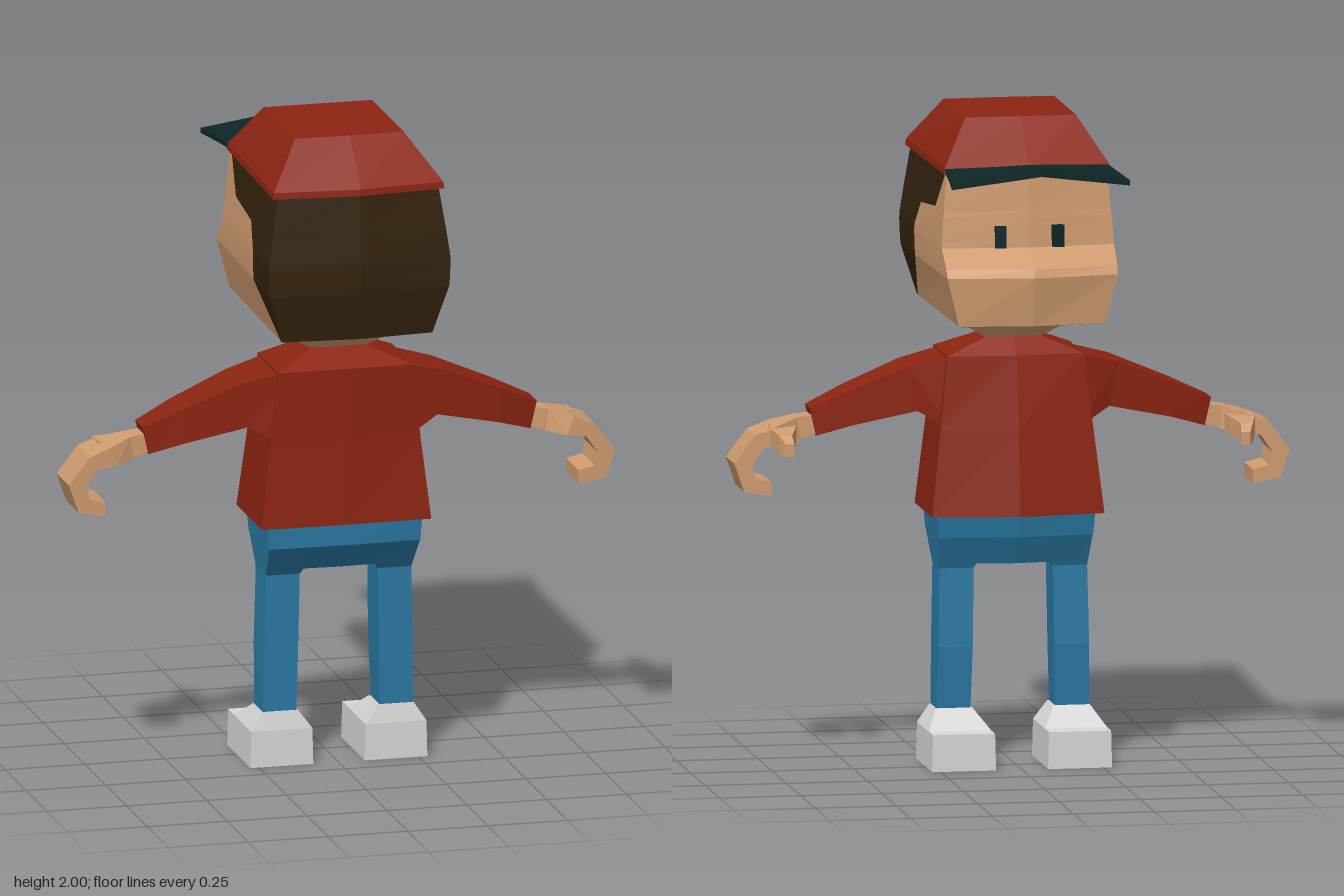
import * as THREE from 'three';

const mat = (name, color) => {
  const m = new THREE.MeshStandardMaterial({ color });
  m.name = name;
  return m;
};

// Skins closed rings of [x, y, z] points, caps both ends and keeps the faces flat.
// pick(band, side) chooses the material index of each side face.
function loft(rings, pick = () => 0) {
  const tris = [[], []];
  const n = rings[0].length;
  for (let b = 0; b < rings.length - 1; b++) {
    for (let i = 0; i < n; i++) {
      const j = (i + 1) % n, lo = rings[b], hi = rings[b + 1];
      tris[pick(b, i)].push([lo[i], lo[j], hi[j]], [lo[i], hi[j], hi[i]]);
    }
  }
  const first = rings[0], last = rings[rings.length - 1];
  for (let i = 1; i < n - 1; i++) {
    tris[0].push([first[0], first[i + 1], first[i]], [last[0], last[i], last[i + 1]]);
  }
  // A negative volume means the faces point inward, so turn them round
  let volume = 0;
  for (const [a, b, c] of tris.flat()) {
    volume += a[0] * (b[1] * c[2] - b[2] * c[1]) + a[1] * (b[2] * c[0] - b[0] * c[2])
      + a[2] * (b[0] * c[1] - b[1] * c[0]);
  }
  const pos = tris.flat().flatMap(([a, b, c]) => (volume < 0 ? [a, c, b] : [a, b, c])).flat();
  const g = new THREE.BufferGeometry();
  g.setAttribute('position', new THREE.Float32BufferAttribute(pos, 3));
  g.computeVertexNormals();
  g.addGroup(0, tris[0].length * 3, 0);
  g.addGroup(tris[0].length * 3, tris[1].length * 3, 1);
  return g;
}

// Six-sided body ring with a ridge down the middle of front and back
const bodyRing = ([y, xb, zb, zbMid, xf, zf, zfMid]) => [
  [0, y, zbMid], [xb, y, zb], [xf, y, zf], [0, y, zfMid], [-xf, y, zf], [-xb, y, zb],
];
// Flat rectangle at height y
const rectRing = ([y, x0, x1, z0, z1], s = 1) =>
  [[s * x0, y, z0], [s * x1, y, z0], [s * x1, y, z1], [s * x0, y, z1]];
// Limb section running from an upper to a lower point, with a depth in z
const limbRing = ([xt, yt, xb, yb, z0, z1], s) =>
  [[s * xt, yt, z0], [s * xt, yt, z1], [s * xb, yb, z1], [s * xb, yb, z0]];

export function createModel() {
  const red = mat('red cloth', 0x8c2411);
  const skin = mat('skin', 0xd09c70);
  const hair = mat('brown hair', 0x35230f);
  const blue = mat('blue denim', 0x2a7aa4);
  const white = mat('white shoe', 0xd8d8d8);
  const dark = mat('dark green', 0x0d2626);

  const model = new THREE.Group();
  model.name = 'boyInCap';
  const add = (name, geometry, material, parent = model) => {
    if (!Array.isArray(material)) geometry.clearGroups();
    const m = new THREE.Mesh(geometry, material);
    m.name = name;
    parent.add(m);
    return m;
  };

  // Head: the last number in each row is the z of the hairline on the side
  const headRing = ([y, xb, zb, zbMid, xf, zf, zfMid, zh]) => {
    const xh = xf + (xb - xf) * (zh - zf) / (zb - zf);
    return [[0, y, zbMid], [xb, y, zb], [xh, y, zh], [xf, y, zf],
      [0, y, zfMid], [-xf, y, zf], [-xh, y, zh], [-xb, y, zb]];
  };
  const headRows = [
    [1.30, 0.08, 0.16, 0.165, 0.08, 0.055, 0.05, 0.11],
    [1.34, 0.14, 0.21, 0.225, 0.14, 0.01, -0.01, 0.15],
    [1.39, 0.235, 0.39, 0.41, 0.225, -0.285, -0.31, 0.375],
    [1.54, 0.28, 0.42, 0.445, 0.262, -0.295, -0.335, 0.20],
    [1.565, 0.282, 0.421, 0.447, 0.263, -0.282, -0.325, 0.20],
    [1.62, 0.284, 0.422, 0.45, 0.265, -0.21, -0.235, 0.20],
    [1.64, 0.283, 0.421, 0.45, 0.264, -0.208, -0.234, 0.195],
    [1.71, 0.273, 0.415, 0.444, 0.259, -0.203, -0.23, 0.14],
    [1.73, 0.27, 0.413, 0.442, 0.257, -0.2, -0.228, -0.07],
    [1.86, 0.25, 0.40, 0.43, 0.245, -0.19, -0.22, -0.185],
  ];
  const isHair = (band, side) => (band >= 2 && (side < 2 || side > 5) ? 1 : 0);
  add('head', loft(headRows.map(headRing), isHair), [skin, hair]);

  // Eyes
  for (const s of [-1, 1]) {
    const eye = add('eye', new THREE.BoxGeometry(0.034, 0.066, 0.03), dark);
    eye.position.set(s * 0.088, 1.654, -0.232);
    eye.rotation.y = -s * 0.1;
  }

  // Cap crown and visor
  add('capCrown', loft([
    [1.845, 0.268, 0.41, 0.435, 0.255, -0.2, -0.225],
    [1.865, 0.265, 0.408, 0.433, 0.252, -0.195, -0.22],
    [2.0, 0.17, 0.295, 0.3, 0.17, -0.085, -0.085],
  ].map(bodyRing)), red);
  const visorRing = ([x, yMid, ySide, zMid, z, t]) => [
    [0, yMid, zMid], [x, ySide, z], [x, ySide - t, z],
    [0, yMid - t, zMid], [-x, ySide - t, z], [-x, ySide, z],
  ];
  add('capVisor', loft([
    [0.25, 1.87, 1.862, -0.19, -0.17, 0.012],
    [0.258, 1.872, 1.858, -0.3, -0.28, 0.014],
    [0.274, 1.885, 1.85, -0.452, -0.44, 0.016],
  ].map(visorRing)), dark);

  // Sweater body
  add('sweater', loft([
    [0.77, 0.265, 0.262, 0.266, 0.265, -0.045, -0.08],
    [1.03, 0.235, 0.246, 0.252, 0.235, -0.02, -0.048],
    [1.255, 0.21, 0.25, 0.254, 0.21, 0, -0.015],
    [1.31, 0.075, 0.165, 0.17, 0.075, 0.05, 0.045],
  ].map(bodyRing)), red);

  // Trouser seat
  add('trouserSeat', loft([
    [0.615, 0.19, 0.165, 0.175, 0.19, 0.03, 0.01],
    [0.70, 0.237, 0.238, 0.246, 0.237, -0.005, -0.03],
    [0.79, 0.243, 0.245, 0.25, 0.243, -0.02, -0.048],
  ].map(bodyRing)), blue);

  for (const s of [-1, 1]) {
    const side = s > 0 ? 'left' : 'right';
    const limb = (rows) => loft(rows.map((r) => limbRing(r, s)));
    const stack = (rows) => loft(rows.map((r) => rectRing(r, s)));

    // Sleeve, hand curled downward, and thumb
    const arm = new THREE.Group();
    arm.name = side + 'Arm';
    model.add(arm);
    add('sleeve', limb([
      [0.17, 1.258, 0.2, 1.03, 0.005, 0.245],
      [0.32, 1.222, 0.295, 1.085, 0.04, 0.222],
      [0.5, 1.148, 0.49, 1.043, 0.062, 0.207],
      [0.617, 1.095, 0.597, 1.01, 0.09, 0.18],
    ]), red, arm);
    add('hand', limb([
      [0.59, 1.075, 0.585, 1.02, 0.1, 0.17],
      [0.655, 1.066, 0.645, 0.998, 0.1, 0.175],
      [0.725, 1.045, 0.705, 0.988, 0.06, 0.21],
      [0.79, 1.02, 0.765, 0.98, 0.06, 0.21],
      [0.855, 0.935, 0.8, 0.928, 0.06, 0.21],
      [0.825, 0.848, 0.79, 0.888, 0.06, 0.21],
      [0.74, 0.833, 0.74, 0.875, 0.06, 0.21],
    ]), skin, arm);
    const thumbRing = ([z, x0, x1, y0, y1]) =>
      [[s * x0, y0, z], [s * x1, y0, z], [s * x1, y1, z], [s * x0, y1, z]];
    add('thumb', loft([
      [0.13, 0.65, 0.74, 0.995, 1.045],
      [0.055, 0.668, 0.745, 0.985, 1.04],
      [-0.01, 0.69, 0.728, 0.972, 1.028],
      [-0.036, 0.687, 0.715, 0.966, 1.005],
    ].map(thumbRing)), skin, arm);

    // Trouser leg with a hip flare, and shoe
    const leg = new THREE.Group();
    leg.name = side + 'Leg';
    model.add(leg);
    add('trouserLeg', stack([
      [0.16, 0.13, 0.235, 0.055, 0.157],
      [0.36, 0.126, 0.232, 0.036, 0.163],
      [0.6, 0.122, 0.227, 0.042, 0.168],
      [0.7, 0.07, 0.236, -0.004, 0.238],
    ]), blue, leg);
    add('shoeSole', stack([[0, 0.08, 0.277, -0.11, 0.17], [0.113, 0.083, 0.274, -0.11, 0.17]]), white, leg);
    add('shoeTop', stack([[0.113, 0.083, 0.274, -0.04, 0.17], [0.17, 0.125, 0.237, 0.05, 0.16]]), white, leg);
  }
  return model;
}
